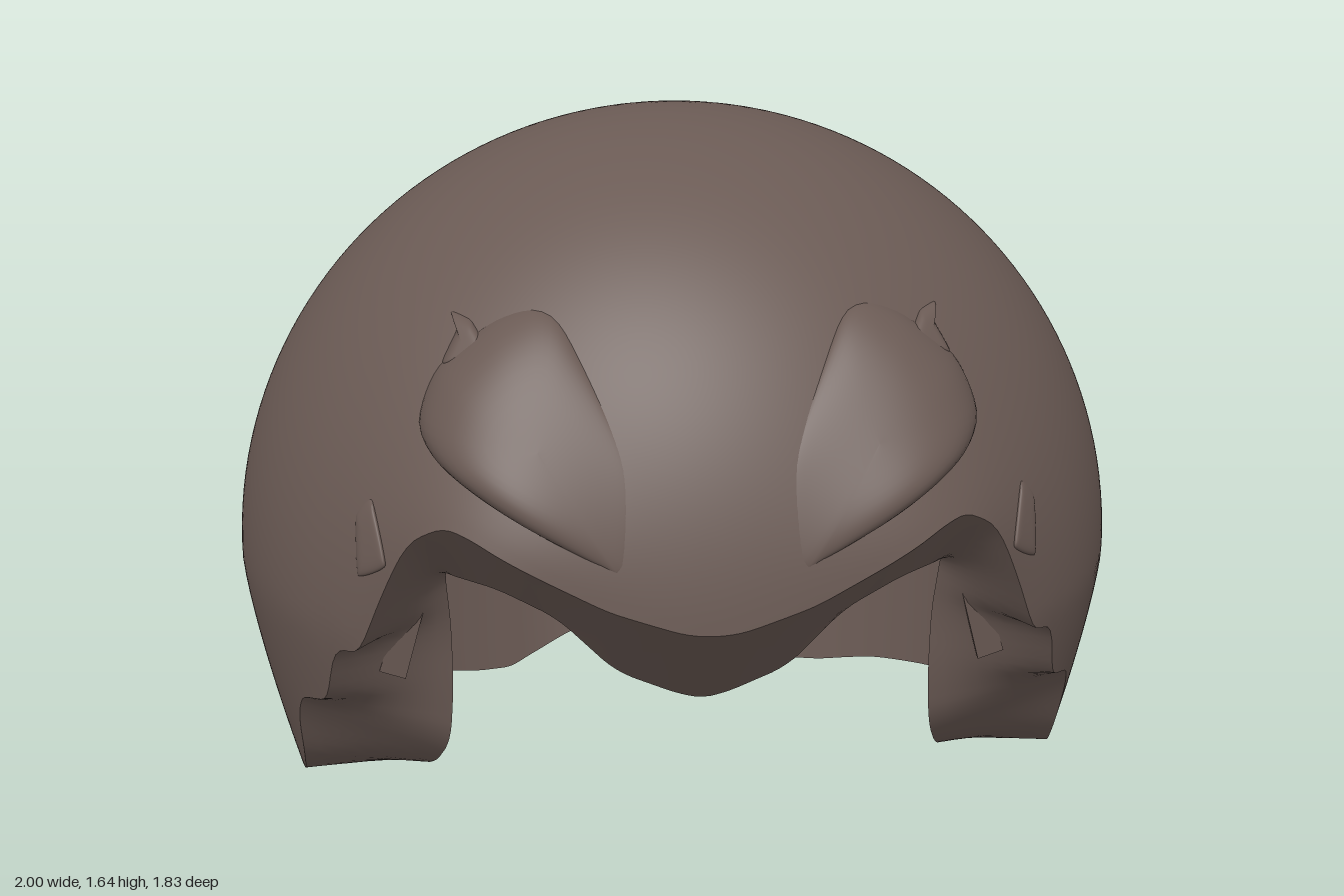
import * as THREE from 'three';

const BASE = 0.64, TOP = 1.635, DEPTH = 0.915;
const material = new THREE.MeshStandardMaterial({ color: 0x6a5a54, side: THREE.DoubleSide });
const bell = (v, centre, width) => Math.exp(-(((v - centre) / width) ** 2));

// Linear lookup in rows of [key, ...values]
function lookup(table, key) {
  let i = 1;
  while (i < table.length - 1 && table[i][0] < key) i++;
  const a = table[i - 1], b = table[i];
  const f = THREE.MathUtils.clamp((key - a[0]) / (b[0] - a[0]), 0, 1);
  return a.slice(1).map((v, k) => v + (b[k + 1] - v) * f);
}

// Lookup averaged over a small span, to round the corners
function smoothLookup(table, key, span) {
  const samples = [-1, -0.5, 0, 0.5, 1].map((o) => lookup(table, key + o * span));
  return samples[0].map((_, k) => samples.reduce((s, v) => s + v[k], 0) / samples.length);
}

// Rim height by angle from the front, in degrees
const RIM = [
  [0, 0.73], [3, 0.733], [12, 0.78], [23, 0.87], [28, 0.91], [32, 0.925], [37, 0.88], [42, 0.72],
  [45, 0.61], [50, 0.6], [54, 0.455], [62, 0.42], [66, 0.34], [69, 0.24], [74, 0.155], [81, 0.14],
  [90, 0.09], [97, 0.07], [120, 0.065], [138, 0.035], [148, 0.003], [154, -0.003], [160, 0.035],
  [167, 0.09], [174, 0.117], [180, 0.12],
];

// Inner edge of the folded-in front lining: angle, x, y, z
const LINING = [
  [0, 0, 0.505, 0.69], [3, 0.04, 0.51, 0.69], [11, 0.18, 0.565, 0.68], [20, 0.3, 0.68, 0.66],
  [28, 0.42, 0.74, 0.64], [37, 0.52, 0.75, 0.57], [42, 0.53, 0.74, 0.52], [50, 0.52, 0.6, 0.49],
  [56, 0.52, 0.45, 0.48], [62, 0.53, 0.32, 0.46], [68, 0.57, 0.22, 0.36], [74, 0.63, 0.165, 0.2],
  [82, 0.69, 0.14, 0.1], [90, 0.77, 0.1, -0.03], [97, 0.85, 0.07, -0.1],
];

// Top edge of the inner wall: column angle, position angle, radius
const WALL_TOP = [[62, 46, 0.74], [74, 70, 0.82], [97, 97, 0.9], [130, 130, 0.95], [180, 180, 0.93]];

// Radius of the outer shell: ellipsoid above, taper below, brow ridge in front, hollow nape
function shellRadius(a, y) {
  const ridge = 0.042 * bell(a, 28, 12) * bell(y, 0.87, 0.16);
  if (y >= BASE) return Math.sqrt(Math.max(0, 1 - ((y - BASE) / (TOP - BASE)) ** 2)) + ridge;
  const d = (BASE - y) / BASE;
  const lobe = THREE.MathUtils.smoothstep(a, 95, 130);
  const taper = THREE.MathUtils.lerp(0.145 * d ** 1.3, 0.125 * d ** 2.8, lobe);
  const nape = 0.17 * d ** 1.2 * bell(a, 180, 15);
  return 1 - taper - nape + ridge;
}

function shellPoint(deg, y) {
  const r = shellRadius(Math.abs(deg), y), t = THREE.MathUtils.degToRad(deg);
  return [r * Math.sin(t), y, DEPTH * r * Math.cos(t)];
}

// Front depth of the shell at x, y
function shellZ(x, y) {
  let r = shellRadius(0, y);
  for (let i = 0; i < 4; i++) {
    r = shellRadius(THREE.MathUtils.radToDeg(Math.asin(Math.min(1, x / r))), y);
  }
  return DEPTH * Math.sqrt(Math.max(0, r * r - x * x));
}

const mix = (p, q, f) => p.map((v, k) => v + (q[k] - v) * f);

// Smooth surface from a grid of points; wrap joins last column to first
function gridMesh(name, cols, rows, wrap, point) {
  const pos = [], index = [];
  for (let i = 0; i < cols; i++) for (let j = 0; j < rows; j++) pos.push(...point(i, j));
  for (let i = 0; i < (wrap ? cols : cols - 1); i++) {
    for (let j = 0; j < rows - 1; j++) {
      const a = i * rows + j, b = ((i + 1) % cols) * rows + j;
      index.push(a, b, b + 1, a, b + 1, a + 1);
    }
  }
  const g = new THREE.BufferGeometry();
  g.setAttribute('position', new THREE.Float32BufferAttribute(pos, 3));
  g.setIndex(index);
  g.computeVertexNormals();
  const mesh = new THREE.Mesh(g, material);
  mesh.name = name;
  return mesh;
}

// Raised patch following the shell inside a closed outline
function patch(name, outline, height, tension) {
  const curve = new THREE.CatmullRomCurve3(
    outline.map(([x, y]) => new THREE.Vector3(x, y, 0)), true, 'catmullrom', tension);
  const pts = curve.getSpacedPoints(72).slice(0, 72);
  const centre = pts.reduce((s, p) => s.add(p), new THREE.Vector3()).divideScalar(72);
  const rings = 14;
  return gridMesh(name, 72, rings + 1, true, (i, j) => {
    const s = Math.cos((j / rings) * Math.PI / 2);
    const p = centre.clone().lerp(pts[i], s);
    return [p.x, p.y, shellZ(p.x, p.y) - 0.005 + height(p.x, p.y) * Math.sqrt(1 - s ** 6)];
  });
}

// Flat strand hanging in front of each ear
function strand() {
  const shape = new THREE.Shape([[0, 0], [0.05, 0], [0.12, -0.22], [0.065, -0.24]]
    .map(([x, y]) => new THREE.Vector2(x, y)));
  const g = new THREE.ExtrudeGeometry(shape, { depth: 0.015, bevelEnabled: false });
  g.rotateX(0.1);
  g.translate(0.555, 0.74, 0.535);
  const mesh = new THREE.Mesh(g, material);
  mesh.name = 'sideStrand';
  return mesh;
}

export function createModel() {
  const model = new THREE.Group();
  model.name = 'hairCap';

  // Main rounded shell with the wavy rim
  const COLS = 360, ROWS = 56;
  const rimPoint = (deg) => shellPoint(deg, smoothLookup(RIM, Math.abs(deg), 1.5)[0]);
  model.add(gridMesh('shell', COLS, ROWS, true, (i, j) => {
    const deg = i - 180, rim = rimPoint(deg)[1];
    return shellPoint(deg, rim + (TOP - rim) * Math.sin((j / (ROWS - 1)) * Math.PI / 2));
  }));

  // Lining folded inward from the front rim
  const liningEdge = (deg) => {
    const [x, y, z] = smoothLookup(LINING, Math.abs(deg), 2);
    return [x * Math.sign(deg), y, z];
  };
  model.add(gridMesh('frontLining', 195, 9, false, (i, j) =>
    mix(rimPoint(97 - i), liningEdge(97 - i), j / 8)));

  // Inner wall running from the lining round the back
  model.add(gridMesh('innerWall', 237, 9, false, (i, j) => {
    const a = 180 - Math.abs(i - 118), side = i < 118 ? 1 : -1;
    const bottom = a < 97 ? liningEdge(a * side) : rimPoint(a * side);
    const [angle, r] = smoothLookup(WALL_TOP, a, 3);
    const t = THREE.MathUtils.degToRad(angle * side);
    return mix(bottom, [r * Math.sin(t), 0.64, DEPTH * r * Math.cos(t)], j / 8);
  }));

  // Mirrored details
  for (const side of [1, -1]) {
    const half = new THREE.Group();
    half.name = side > 0 ? 'leftDetails' : 'rightDetails';
    half.add(
      patch('browPad',
        [[0.17, 0.86], [0.22, 0.87], [0.38, 0.95], [0.53, 1.035], [0.57, 1.1], [0.53, 1.2],
          [0.42, 1.29], [0.33, 1.32], [0.27, 1.28], [0.16, 1.05]],
        (x) => 0.006 + 0.08 * THREE.MathUtils.smoothstep(x, 0.13, 0.52), 0.4),
      patch('browTuft', [[0.43, 1.24], [0.46, 1.29], [0.5, 1.3], [0.49, 1.27], [0.52, 1.21]],
        () => 0.03, 0.2),
      patch('templeTuft', [[0.645, 0.82], [0.67, 0.94], [0.705, 0.9], [0.705, 0.78]],
        () => 0.018, 0.2),
      strand(),
    );
    half.scale.x = side;
    model.add(half);
  }
  return model;
}
